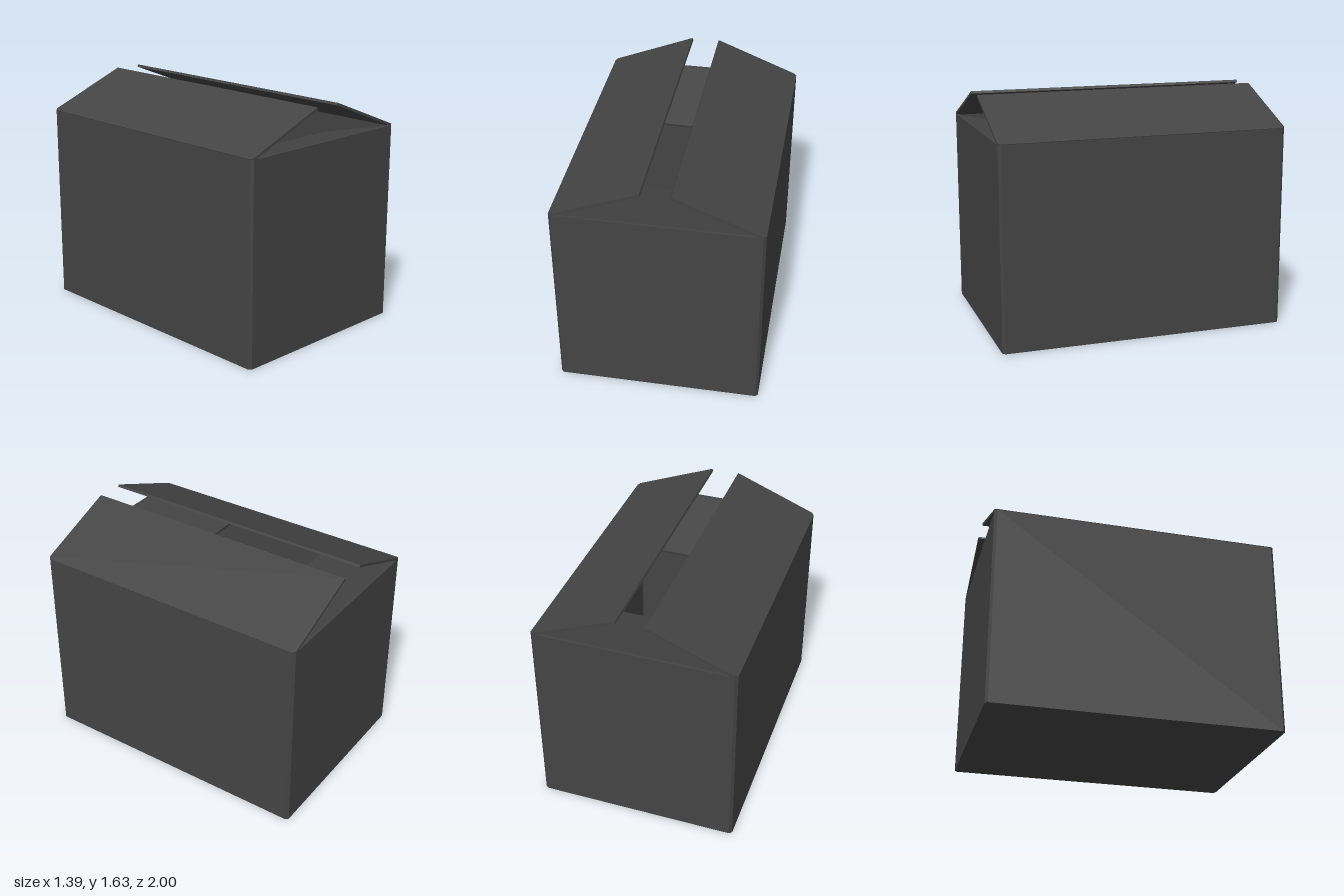
import * as THREE from 'three';

const W = 1.39, D = 2, H = 1.39, T = 0.018, C = 0.018; // box size, board thickness, corner chamfer

// Rectangle outline with cut corners
function chamferedRect(w, d, c) {
  const x = w / 2, y = d / 2;
  return [[x - c, -y], [x, -y + c], [x, y - c], [x - c, y], [-x + c, y], [-x, y - c], [-x, -y + c], [-x + c, -y]]
    .map(([a, b]) => new THREE.Vector2(a, b));
}

// Extrude an outline upwards, starting at y = base
function extrudeUp(shape, height, base) {
  const geo = new THREE.ExtrudeGeometry(shape, { depth: height, bevelEnabled: false });
  return geo.rotateX(-Math.PI / 2).translate(0, base, 0);
}

export function createModel() {
  const model = new THREE.Group();
  model.name = 'openCarton';
  const mat = new THREE.MeshStandardMaterial({ color: 0x444444 });

  const add = (parent, geo, name) => {
    const mesh = new THREE.Mesh(geo, mat);
    mesh.name = name;
    parent.add(mesh);
    return mesh;
  };

  // Four walls as one chamfered tube
  const wallShape = new THREE.Shape(chamferedRect(W, D, C));
  wallShape.holes.push(new THREE.Path(chamferedRect(W - 2 * T, D - 2 * T, C / 2).reverse()));
  add(model, extrudeUp(wallShape, H, 0), 'walls');

  // Floor
  add(model, extrudeUp(new THREE.Shape(chamferedRect(W - 2 * T, D - 2 * T, C / 2)), T, 0), 'floor');

  // Flap hinged on a wall: yaw points it inwards, tilt raises or lowers its free edge
  function addFlap(name, yaw, tilt, reach, length, width, hingeY) {
    const w = width / 2;
    const outline = [[0, -w + C], [C, -w], [length, -w], [length, w], [C, w], [0, w - C]]
      .map(([a, b]) => new THREE.Vector2(a, b));
    const hinge = new THREE.Group();
    hinge.name = name + 'Hinge';
    hinge.position.set(-Math.cos(yaw) * reach, hingeY, Math.sin(yaw) * reach);
    hinge.rotation.y = yaw;
    add(hinge, extrudeUp(new THREE.Shape(outline), T, -T), name).rotation.z = tilt;
    model.add(hinge);
  }

  // Long outer flaps rise towards the middle
  addFlap('leftLid', Math.PI, 0.378, W / 2, 0.64, D, H + 0.004);
  addFlap('rightLid', 0, 0.378, W / 2, 0.64, D, H + 0.004);

  // Short inner flaps sink into the box
  addFlap('frontInnerFlap', Math.PI / 2, -0.25, D / 2 - 0.01, 0.61, W - 2 * T, H);
  addFlap('backInnerFlap', -Math.PI / 2, -0.25, D / 2 - 0.01, 0.61, W - 2 * T, H);

  return model;
}
